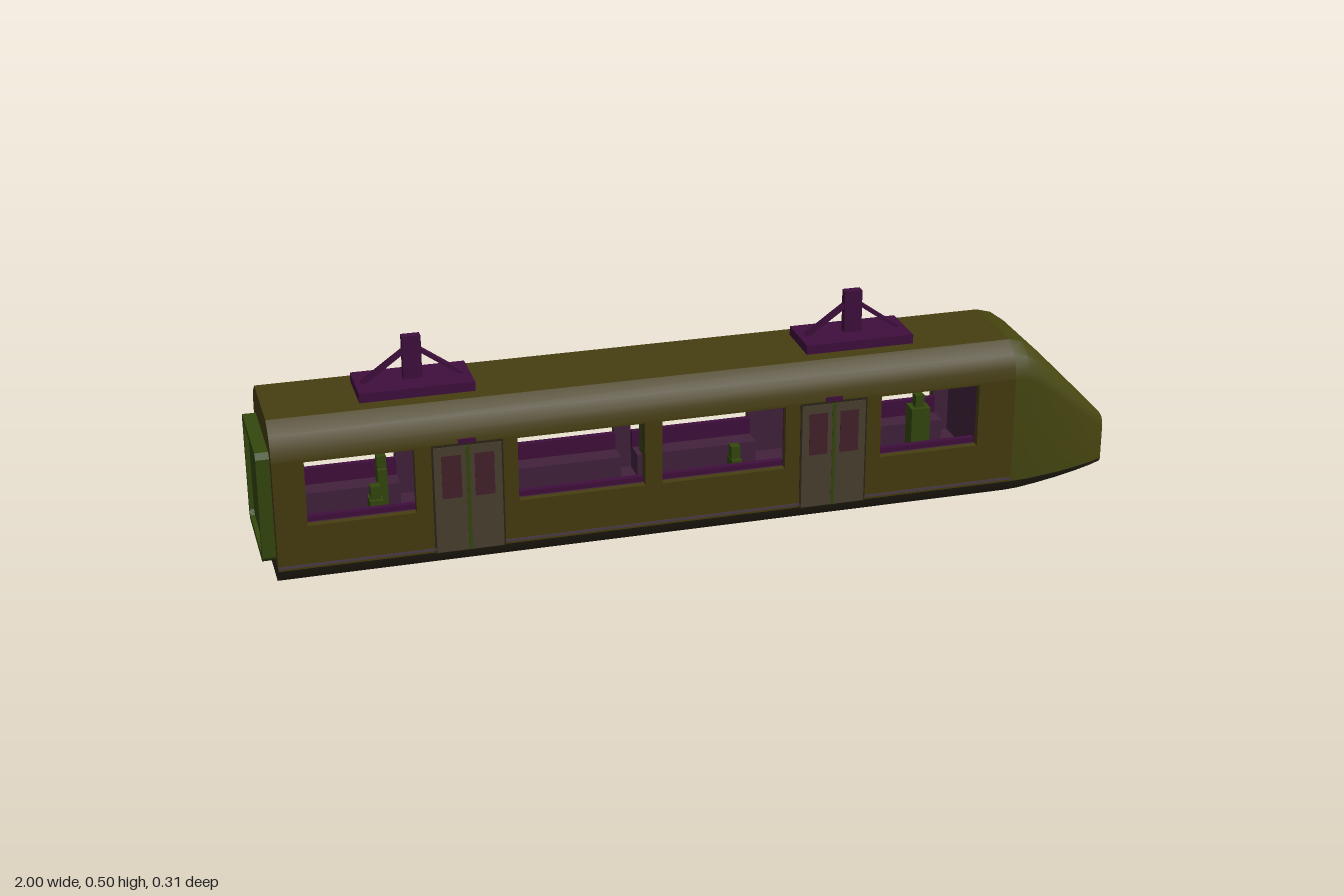
import * as THREE from 'three';
import { toCreasedNormals } from 'three/addons/utils/BufferGeometryUtils.js';

const mat = (name, color, side = THREE.FrontSide) => {
  const m = new THREE.MeshStandardMaterial({ color, side });
  m.name = name;
  return m;
};

export function createModel() {
  const M = {
    body: mat('olive body', 0x463d10),
    nose: mat('green olive nose', 0x454510, THREE.DoubleSide),
    under: mat('dark underframe', 0x2b2519, THREE.DoubleSide),
    purple: mat('deep purple', 0x400f3d),
    interior: mat('interior plum', 0x42223c),
    green: mat('moss green', 0x35480e),
    door: mat('door grey brown', 0x4a4030),
    glass: mat('dark red glass', 0x44222a),
    trim: mat('trim grey', 0x4c3e4a),
  };
  const model = new THREE.Group();
  model.name = 'railcar';

  const add = (name, geo, material, parent = model) => {
    const mesh = new THREE.Mesh(geo, material);
    mesh.name = name;
    parent.add(mesh);
    return mesh;
  };
  // box given by its min and max corners
  const box = (name, material, [x0, x1], [y0, y1], [z0, z1], parent = model) => {
    const m = add(name, new THREE.BoxGeometry(x1 - x0, y1 - y0, z1 - z0), material, parent);
    m.position.set((x0 + x1) / 2, (y0 + y1) / 2, (z0 + z1) / 2);
    return m;
  };
  // mirror a half outline [z, y] into a full one
  const mirror = half => [...half, ...half.map(([z, y]) => [-z, y]).reverse()];
  const shapeOf = pts => new THREE.Shape(pts.map(([a, b]) => new THREE.Vector2(a, b)));
  // extrude a cross-section along x
  const alongX = (shape, x0, x1) => {
    const g = new THREE.ExtrudeGeometry(shape, { depth: x1 - x0, bevelEnabled: false });
    g.rotateY(Math.PI / 2).translate(x0, 0, 0);
    return toCreasedNormals(g, 0.6);
  };
  const rect = (x0, x1, y0, y1, Type = THREE.Shape) => {
    const s = new Type();
    s.moveTo(x0, y0).lineTo(x1, y0).lineTo(x1, y1).lineTo(x0, y1).closePath();
    return s;
  };

  const BACK = -0.97, NOSE = 0.75, W = 0.153;
  const upper = [[W, 0.04], [W, 0.3], [0.15, 0.325], [0.135, 0.355], [0.1, 0.38]];
  const lower = [[W, 0.04], [0.14, 0.015], [0.115, 0]];
  const faceUpper = [[0.107, 0.05], [0.107, 0.13], [0.104, 0.147], [0.097, 0.156], [0.083, 0.16]];
  const faceLower = [[0.107, 0.05], [0.104, 0.041], [0.096, 0.036]];

  // roof and underframe
  add('roof', alongX(shapeOf(mirror(upper.slice(1))), BACK, NOSE), M.body);
  add('underframe', alongX(shapeOf(mirror(lower)), BACK, NOSE), M.under);

  // side walls with window openings, plus inner lining
  const windows = [[-0.9, -0.66], [-0.43, -0.14], [-0.1, 0.19], [0.42, 0.66]];
  const wallShape = rect(BACK, NOSE, 0.04, 0.3);
  windows.forEach(([a, b]) => wallShape.holes.push(rect(a, b, 0.143, 0.295, THREE.Path)));
  const wall = (name, material, z, depth) => {
    const g = new THREE.ExtrudeGeometry(wallShape, { depth, bevelEnabled: false });
    add(name, g.translate(0, 0, z), material);
  };
  wall('leftWall', M.body, W - 0.016, 0.016);
  wall('rightWall', M.body, -W, 0.016);
  wall('leftLining', M.interior, W - 0.021, 0.005);
  wall('rightLining', M.interior, -W + 0.016, 0.005);

  // interior floor, ceiling, end walls and benches
  box('floor', M.interior, [BACK, NOSE], [0.04, 0.06], [-0.132, 0.132]);
  box('ceiling', M.interior, [BACK, NOSE], [0.296, 0.3], [-0.132, 0.132]);
  box('backWall', M.body, [BACK, -0.955], [0.04, 0.3], [-0.137, 0.137]);
  box('backInnerDoor', M.green, [-0.955, -0.95], [0.06, 0.29], [-0.12, 0.12]);
  box('cabBulkhead', M.interior, [0.7, 0.715], [0.06, 0.296], [-0.132, 0.132]);
  windows.forEach(([a, b]) => [-1, 1].forEach(s => {
    const zs = (p, q) => (s > 0 ? [p, q] : [-q, -p]);
    box('benchSeat', M.interior, [a, b], [0.06, 0.115], zs(0.07, 0.132));
    box('benchBack', M.purple, [a, b], [0.115, 0.155], zs(0.118, 0.132));
  }));

  // seated and standing passengers
  [[-0.74, 0.19, 0.03, 0.085], [-0.7, 0.185, 0.022, -0.085], [-0.065, 0.23, 0.046, -0.08],
    [0.09, 0.185, 0.024, 0.085], [0.555, 0.24, 0.046, 0.04]].forEach(([x, top, w, z]) => {
    const p = new THREE.Group();
    p.name = 'passenger';
    model.add(p);
    box('torso', M.green, [x - w / 2, x + w / 2], [0.06, top - 0.03], [z - 0.02, z + 0.02], p);
    box('head', M.green, [x - 0.011, x + 0.011], [top - 0.03, top], [z - 0.011, z + 0.011], p);
  });

  // doors, mirrored to both sides
  [-0.543, 0.305].forEach(x => [0, Math.PI].forEach(turn => {
    const d = new THREE.Group();
    d.name = 'doubleDoor';
    d.position.x = x;
    d.rotation.y = turn;
    model.add(d);
    box('doorFrame', M.under, [-0.08, 0.08], [0.038, 0.298], [W - 0.001, W + 0.001], d);
    [-1, 1].forEach(s => {
      const leaf = box('doorLeaf', M.door, [-0.036, 0.036], [0.04, 0.293], [W, W + 0.003], d);
      leaf.position.x = s * 0.04;
      const pane = box('doorGlass', M.glass, [-0.022, 0.022], [0.17, 0.272], [W + 0.002, W + 0.004], d);
      pane.position.x = s * 0.037;
    });
    box('doorSeal', M.green, [-0.004, 0.004], [0.04, 0.293], [W, W + 0.004], d);
    box('doorSensor', M.purple, [-0.02, 0.02], [0.298, 0.308], [W - 0.004, W + 0.003], d);
  }));

  // thin waist strip along the skirt
  [-1, 1].forEach(s => {
    const strip = box('skirtStrip', M.trim, [BACK, NOSE], [0.045, 0.051], [-0.001, 0.001]);
    strip.position.z = s * W;
  });

  // tapered nose: sections [x, width blend, height blend]
  const sections = [[NOSE, 0, 0], [0.785, 0.02, 0.045], [0.82, 0.1, 0.16], [0.87, 0.22, 0.39],
    [0.93, 0.48, 0.67], [0.97, 0.72, 0.86], [1, 1, 1]];
  const loft = (from, to) => {
    const n = from.length, pos = [], idx = [];
    sections.forEach(([x, tz, ty]) => from.forEach(([z, y], i) => pos.push(
      x, THREE.MathUtils.lerp(y, to[i][1], ty), THREE.MathUtils.lerp(z, to[i][0], tz))));
    for (let s = 0; s < sections.length - 1; s++) for (let i = 0; i < n - 1; i++) {
      const a = s * n + i, b = a + n;
      idx.push(a, b, b + 1, a, b + 1, a + 1);
    }
    const g = new THREE.BufferGeometry();
    g.setAttribute('position', new THREE.Float32BufferAttribute(pos, 3));
    g.setIndex(idx);
    return toCreasedNormals(g, 0.6);
  };
  add('noseShell', loft(mirror(upper), mirror(faceUpper)), M.nose);
  // underside runs from the right edge to the left edge
  const flip = half => mirror(half).reverse();
  add('noseUnderside', loft(flip(lower), flip(faceLower)), M.under);

  // front face with sign, lamps and bumper line
  const face = [...[...faceLower].reverse(), ...faceUpper.slice(1)];
  add('frontFace', alongX(shapeOf(mirror(face)), 0.99, 0.9985), M.body);
  box('destinationSign', M.purple, [0.994, 1], [0.132, 0.148], [-0.053, 0.053]);
  box('bumperLine', M.trim, [0.994, 1], [0.057, 0.062], [-0.092, 0.092]);
  [-1, 1].forEach(s => {
    box('innerLamp', M.glass, [0.994, 1], [0.07, 0.085], [-0.019, 0.019]).position.z = s * 0.056;
    box('outerLamp', M.nose, [0.994, 1], [0.07, 0.085], [-0.01, 0.01]).position.z = s * 0.087;
  });

  // gangway at the back: raised frame around a recessed panel
  const chamfered = (w, y0, y1, c) => mirror([[w - c, y0], [w, y0 + c], [w, y1 - c], [w - c, y1]]);
  const frame = shapeOf(chamfered(0.123, 0.05, 0.31, 0.012));
  frame.holes.push(new THREE.Path(shapeOf(chamfered(0.108, 0.065, 0.295, 0.01)).getPoints()));
  add('gangwayFrame', alongX(frame, -1, BACK), M.green);
  box('gangwayPanel', M.green, [-0.99, BACK], [0.062, 0.298], [-0.111, 0.111]);

  // roof current collectors
  [-0.632, 0.397].forEach(x => {
    const c = new THREE.Group();
    c.name = 'currentCollector';
    c.position.x = x;
    model.add(c);
    box('collectorBase', M.purple, [-0.129, 0.129], [0.378, 0.402], [-0.064, 0.064], c);
    box('collectorPost', M.purple, [-0.021, 0.021], [0.4, 0.503], [-0.01, 0.01], c);
    [-1, 1].forEach(s => {
      const brace = add('collectorBrace', new THREE.BoxGeometry(0.135, 0.009, 0.016), M.purple, c);
      brace.position.set(s * 0.058, 0.439, 0);
      brace.rotation.z = -s * 0.62;
    });
  });

  return model;
}
